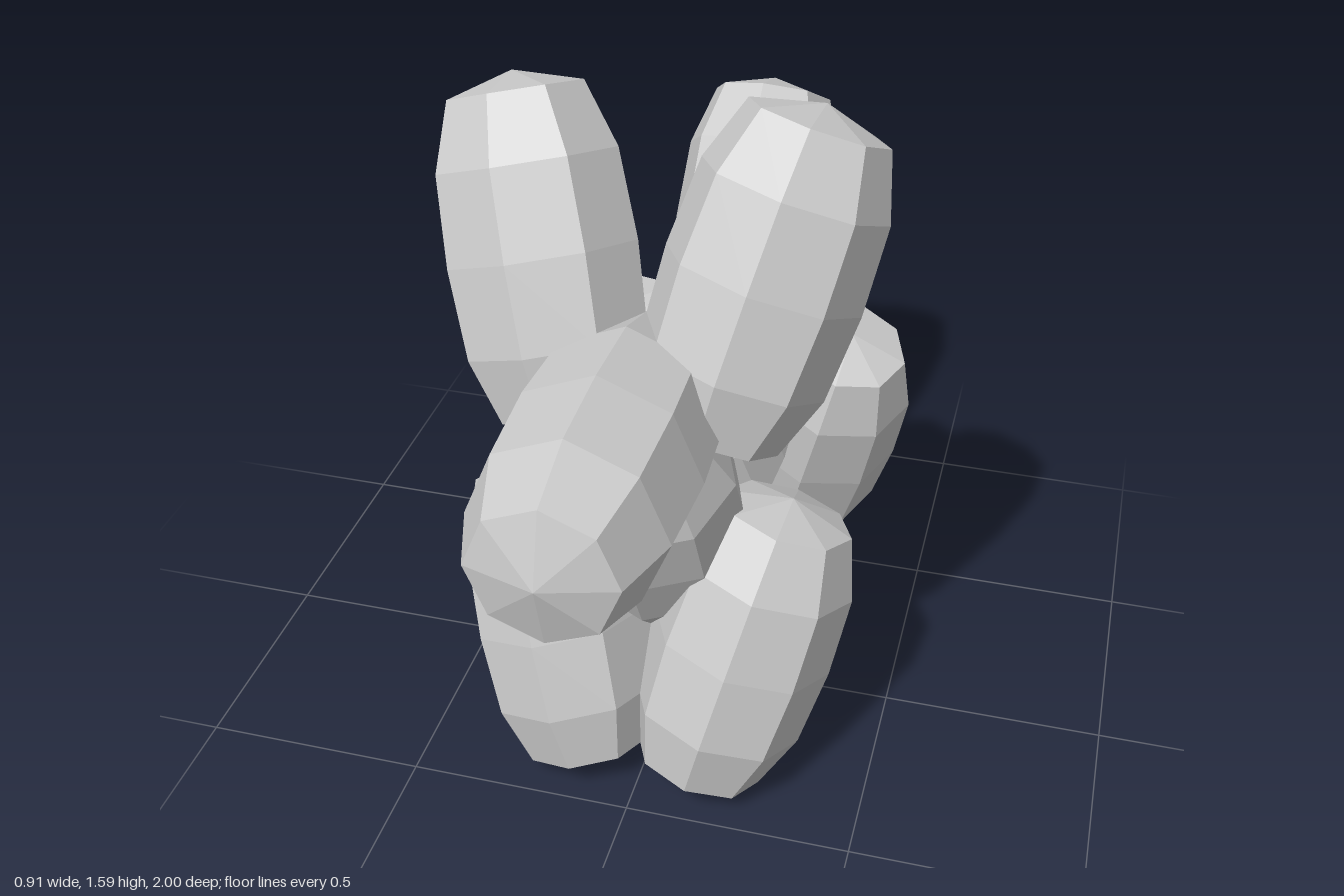
import * as THREE from 'three';

const UP = new THREE.Vector3(0, 1, 0);

export function createModel() {
  const model = new THREE.Group();
  model.name = 'balloonDog';
  const material = new THREE.MeshStandardMaterial({ color: 0xcccccc, flatShading: true });

  // Eight-sided inflated segment; half is half its length along dir
  function balloon(name, half, position, dir) {
    const profile = [
      [0, -1], [0.145, -0.89], [0.193, -0.51], [0.203, 0],
      [0.193, 0.51], [0.145, 0.89], [0, 1],
    ].map(([r, t]) => new THREE.Vector2(r, t * half));
    const geometry = new THREE.LatheGeometry(profile, 8).toNonIndexed();
    geometry.computeVertexNormals();
    const mesh = new THREE.Mesh(geometry, material);
    mesh.name = name;
    mesh.position.set(...position);
    mesh.quaternion.setFromUnitVectors(UP, new THREE.Vector3(...dir).normalize());
    model.add(mesh);
  }

  // Segments on the centre line
  balloon('body', 0.38, [0, 0.535, -0.15], [0, 0, 1]);
  balloon('neck', 0.31, [0, 0.635, 0.245], [0, 0.906, 0.423]);
  balloon('snout', 0.38, [0, 1.0, 0.62], [0, 0, 1]);
  balloon('tail', 0.37, [0, 0.84, -0.7], [0, 0.84, -0.545]);

  // Mirrored pairs, splayed outward
  for (const [side, s] of [['left', 1], ['right', -1]]) {
    balloon(side + 'Ear', 0.36, [s * 0.225, 1.23, 0.25], [s * 0.27, 1, -0.37]);
    balloon(side + 'FrontLeg', 0.36, [s * 0.205, 0.34, 0.28], [s * 0.257, 1, -0.257]);
    balloon(side + 'HindLeg', 0.36, [s * 0.205, 0.34, -0.59], [s * 0.257, 1, 0.257]);
  }
  return model;
}
